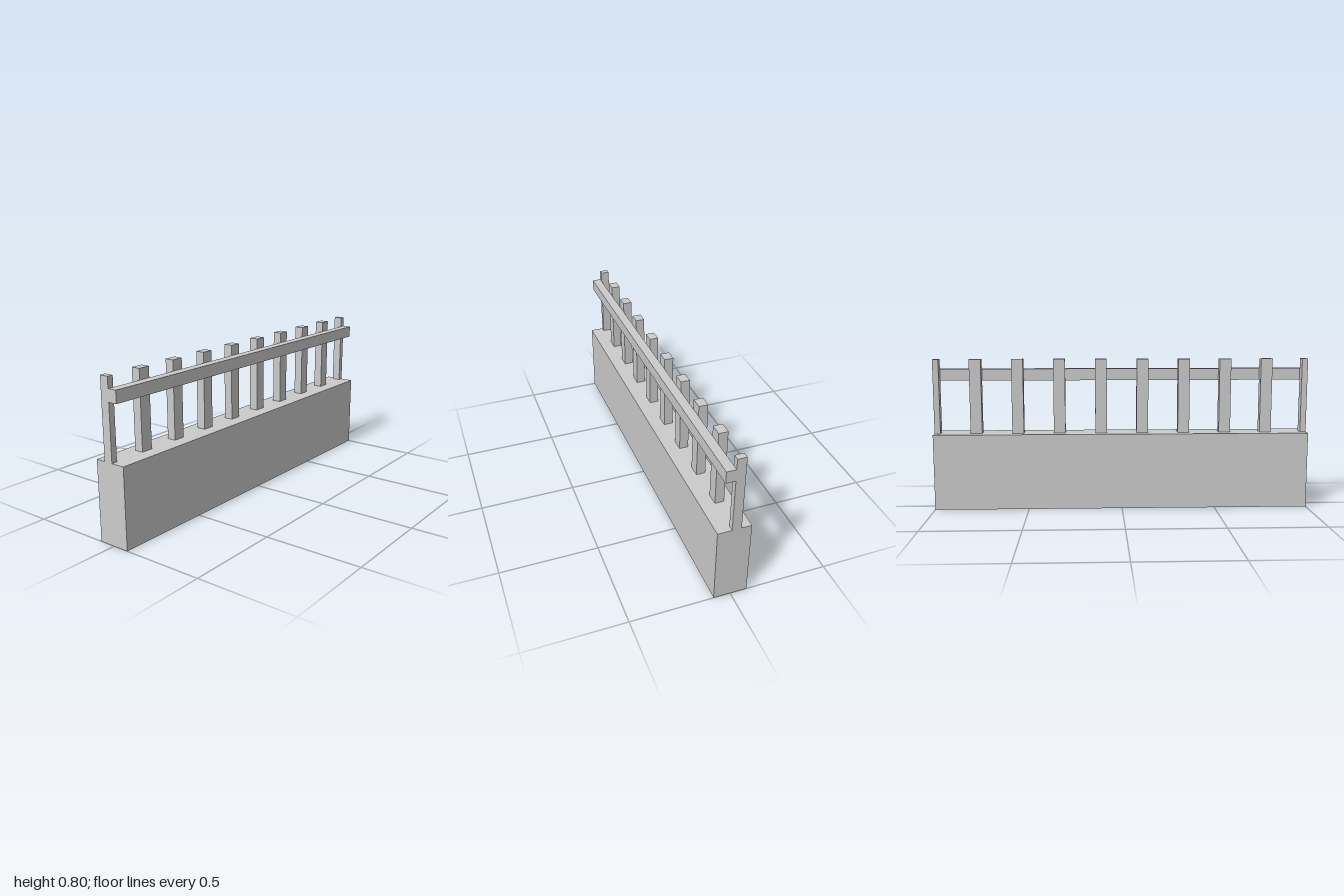
import * as THREE from 'three';

export function createModel() {
  const model = new THREE.Group();
  const solid = new THREE.MeshStandardMaterial({ color: 0xcccccc, flatShading: true });
  const shell = new THREE.MeshStandardMaterial({ color: 0xcccccc, flatShading: true, side: THREE.DoubleSide });

  // Box given by its lower and upper corners; openBottom drops the underside
  function block(name, [x0, y0, z0], [x1, y1, z1], openBottom = false) {
    const geometry = new THREE.BoxGeometry(x1 - x0, y1 - y0, z1 - z0);
    geometry.translate((x0 + x1) / 2, (y0 + y1) / 2, (z0 + z1) / 2);
    if (openBottom) {
      const index = Array.from(geometry.index.array);
      index.splice(18, 6);
      geometry.setIndex(index);
      geometry.clearGroups();
    }
    const mesh = new THREE.Mesh(geometry, openBottom ? shell : solid);
    mesh.name = name;
    model.add(mesh);
  }

  // Plinth, hollow and open underneath
  const baseTop = 0.404;
  block('baseWall', [-1, 0, -0.084], [1, baseTop, 0.084], true);

  // Evenly spaced posts; the end ones are halved at the edges
  const bays = 9, halfWidth = 0.031;
  for (let i = 0; i <= bays; i++) {
    const x = -1 + (2 * i) / bays;
    block('post', [Math.max(-1, x - halfWidth), baseTop, -0.033], [Math.min(1, x + halfWidth), 0.8, 0.013]);
  }

  // Rail across the front of the posts
  block('rail', [-1, 0.684, 0.013], [1, 0.746, 0.06]);

  return model;
}
